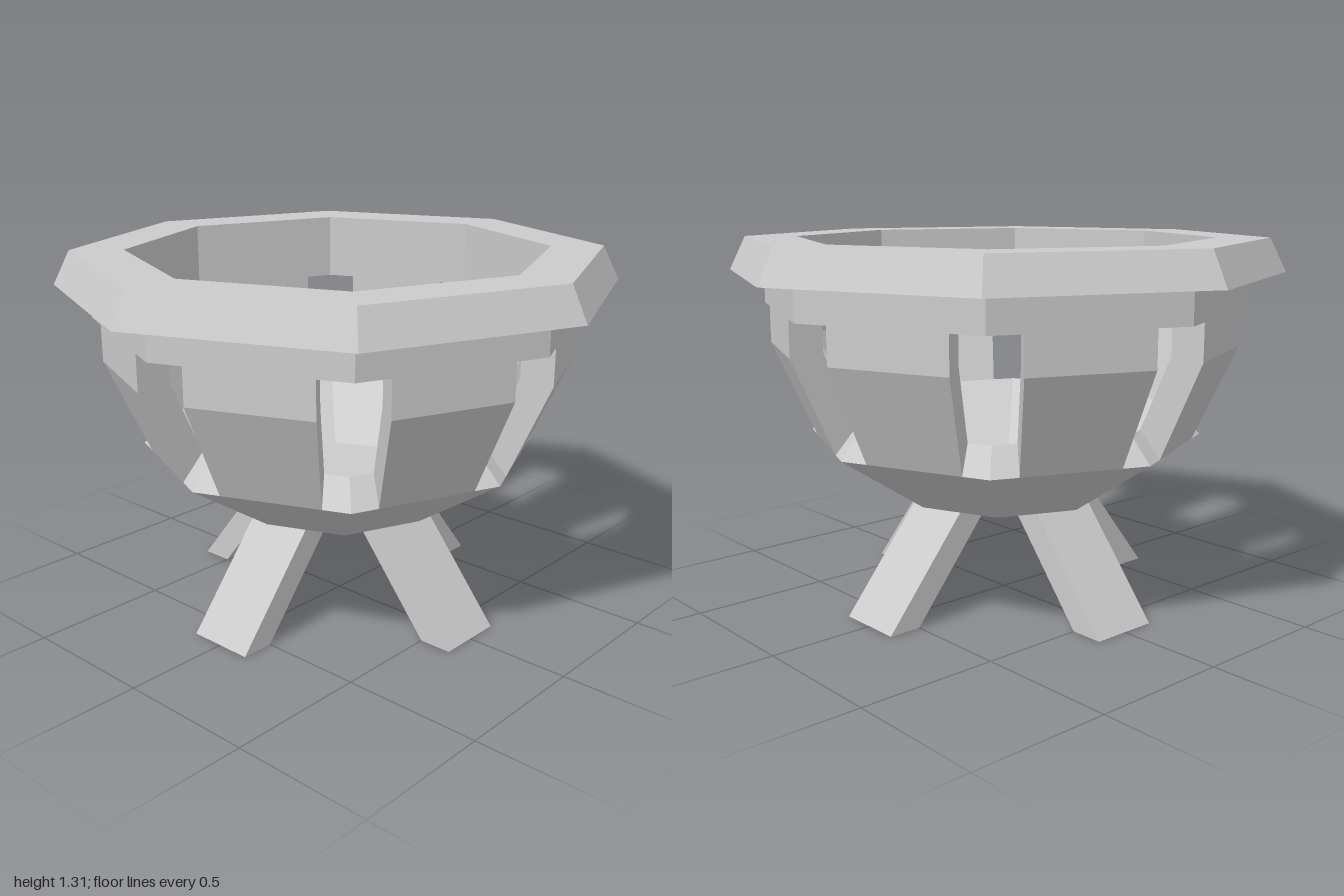
import * as THREE from 'three';

const SIDES = 8;
const SLOT = 0.178; // share of each side cut away at a corner
const grey = new THREE.MeshStandardMaterial({ color: 0xcccccc, flatShading: true });

function part(name, geometry) {
  const mesh = new THREE.Mesh(geometry, grey);
  mesh.name = name;
  return mesh;
}

// Eight-sided solid from a [radius, height] profile
function octagonal(profile) {
  const points = profile.map(([r, y]) => new THREE.Vector2(r, y));
  return new THREE.LatheGeometry(points, SIDES).toNonIndexed();
}

// One wall panel: the profile spans one side of the octagon, stopping short of both corners
function panelGeometry() {
  const outer = [[0.715, 0.6], [0.875, 0.94], [0.875, 1.07]];
  const inner = [[0.63, 0.69], [0.75, 0.95], [0.75, 1.07]];
  const a = Math.PI * 2 / SIDES;
  const at = ([r, y], t) => [r * t * Math.sin(a), y, r * (1 - t + t * Math.cos(a))];
  const positions = [];
  const quad = (p, q, r, s) => positions.push(...p, ...q, ...r, ...p, ...r, ...s);
  const t0 = SLOT, t1 = 1 - SLOT;
  for (let i = 0; i < 2; i++) {
    const j = i + 1;
    quad(at(outer[i], t0), at(outer[i], t1), at(outer[j], t1), at(outer[j], t0));
    quad(at(inner[i], t1), at(inner[i], t0), at(inner[j], t0), at(inner[j], t1));
    // slot cheeks
    quad(at(inner[i], t0), at(outer[i], t0), at(outer[j], t0), at(inner[j], t0));
    quad(at(outer[i], t1), at(inner[i], t1), at(inner[j], t1), at(outer[j], t1));
  }
  const geometry = new THREE.BufferGeometry();
  geometry.setAttribute('position', new THREE.Float32BufferAttribute(positions, 3));
  geometry.computeVertexNormals();
  return geometry;
}

// Slanted leg with level ends, leaning outwards along +x
function legGeometry() {
  const top = 0.4, lean = 0.326;
  const shape = new THREE.Shape([
    new THREE.Vector2(0.5, 0), new THREE.Vector2(0.62, 0),
    new THREE.Vector2(0.62 - lean, top), new THREE.Vector2(0.5 - lean, top),
  ]);
  return new THREE.ExtrudeGeometry(shape, { depth: 0.25, bevelEnabled: false }).translate(0, 0, -0.125);
}

export function createModel() {
  const model = new THREE.Group();
  model.name = 'fireBowl';

  // Bowl base with a sloping sill
  model.add(part('bowlBase', octagonal([
    [0, 0.38], [0.38, 0.38], [0.715, 0.6], [0.63, 0.69], [0.31, 0.48], [0, 0.48],
  ])));

  // Upper band with flared rim
  model.add(part('rim', octagonal([
    [0.75, 1.07], [0.875, 1.07], [0.875, 1.19], [1, 1.19], [0.94, 1.31], [0.75, 1.31], [0.75, 1.07],
  ])));

  // Wall panels, leaving a slot at every corner
  const panel = panelGeometry();
  for (let i = 0; i < SIDES; i++) {
    const mesh = part('wallPanel', panel);
    mesh.rotation.y = i * Math.PI * 2 / SIDES;
    model.add(mesh);
  }

  // Four splayed legs
  const leg = legGeometry();
  for (let i = 0; i < 4; i++) {
    const mesh = part('leg', leg);
    mesh.rotation.y = i * Math.PI / 2;
    model.add(mesh);
  }
  return model;
}
